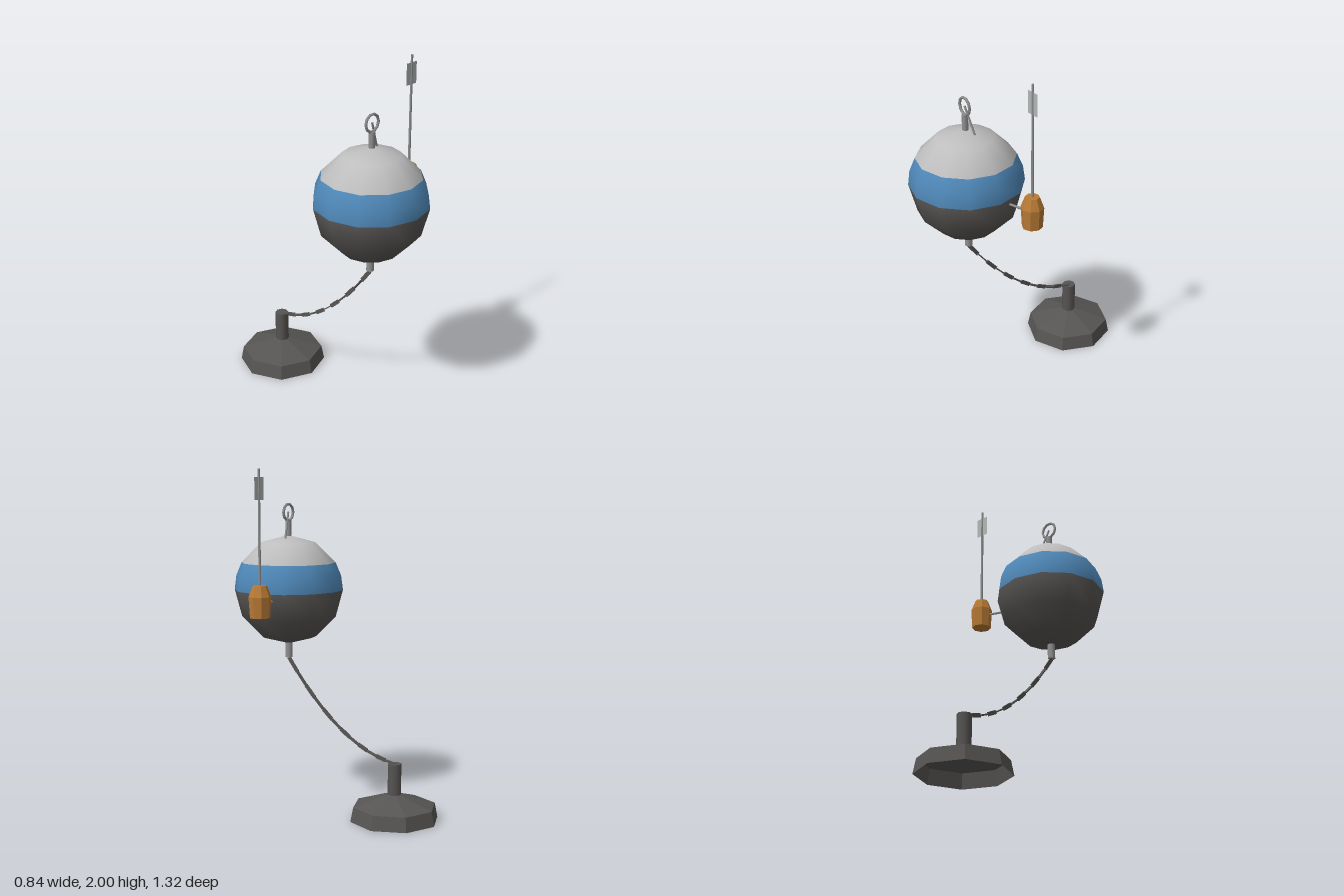
import * as THREE from 'three';

const mat = (name, color, extra = {}) => Object.assign(
  new THREE.MeshStandardMaterial({ color, ...extra }), { name });

export function createModel() {
  const light = mat('light grey paint', 0xbebebe);
  const blue = mat('blue paint', 0x4f88b8);
  const dark = mat('dark grey', 0x575553);
  const shellDark = mat('dark grey shell', 0x575553, { side: THREE.DoubleSide, flatShading: true });
  const metal = mat('metal', 0x909090);
  const orange = mat('orange paint', 0xb87a35, { flatShading: true });
  const flagGrey = mat('flag grey', 0xb2b6b6, { side: THREE.DoubleSide });

  const model = new THREE.Group();
  model.name = 'mooringBuoy';
  const add = (name, geo, material, x = 0, y = 0, z = 0) => {
    const m = new THREE.Mesh(geo, material);
    m.name = name;
    m.position.set(x, y, z);
    model.add(m);
    return m;
  };
  // Turns a part whose length runs along y so that it spans a to b
  const span = (mesh, a, b) => {
    mesh.position.copy(a).lerp(b, 0.5);
    mesh.quaternion.setFromUnitVectors(new THREE.Vector3(0, 1, 0), b.clone().sub(a).normalize());
  };
  const rod = (name, a, b, r) =>
    span(add(name, new THREE.CylinderGeometry(r, r, a.distanceTo(b), 6), metal), a, b);
  const V = (x, y, z) => new THREE.Vector3(x, y, z);

  const X = -0.097, BZ = 0.335, BY = 1.291, AZ = -0.403;

  // Buoy ball in three painted bands
  const R = 0.324, step = Math.PI / 6;
  const band = (from, rows) =>
    new THREE.SphereGeometry(R, 12, rows, 0, Math.PI * 2, from * step, rows * step);
  add('ballTop', band(0, 2), light, X, BY, BZ);
  add('ballStripe', band(2, 1), blue, X, BY, BZ);
  add('ballBottom', band(3, 3), dark, X, BY, BZ);

  // Lifting eye with a loose pin, and the lower chain fitting
  add('topStem', new THREE.CylinderGeometry(0.018, 0.018, 0.11, 8), metal, X, 1.645, BZ);
  add('liftingRing', new THREE.TorusGeometry(0.049, 0.008, 6, 10), metal, X, 1.748, BZ);
  rod('ringPin', V(X, 1.75, BZ), V(-0.035, 1.595, 0.314), 0.006);
  add('bottomStem', new THREE.CylinderGeometry(0.022, 0.022, 0.11, 8), metal, X, 0.938, BZ);

  // Sagging chain of flat links, each turned a quarter from the last
  const links = 12;
  const chainPoint = (t) => V(X, 0.88 - 0.55 * t - 0.464 * t * (1 - t), BZ + (AZ - BZ) * t);
  for (let i = 0; i < links; i++) {
    const a = chainPoint(i / links), b = chainPoint((i + 1) / links);
    const [w, d] = i % 2 ? [0.023, 0.007] : [0.007, 0.023];
    span(add('chainLink', new THREE.BoxGeometry(w, a.distanceTo(b), d), dark), a, b);
  }

  // Hollow eight-sided anchor with its post
  const anchorProfile = [[0.26, 0], [0.243, 0.084], [0.038, 0.15]]
    .map(([r, y]) => new THREE.Vector2(r, y));
  add('anchorShell', new THREE.LatheGeometry(anchorProfile, 8), shellDark, X, 0, AZ);
  add('anchorPost', new THREE.CylinderGeometry(0.04, 0.04, 0.19, 8), dark, X, 0.235, AZ);

  // Marker float on an arm, with pole and flag
  const FX = 0.352, FZ = 0.213;
  const floatProfile = [[0, 1.177], [0.057, 1.177], [0.064, 1.295], [0.04, 1.358], [0, 1.358]]
    .map(([r, y]) => new THREE.Vector2(r, y));
  add('markerFloat', new THREE.LatheGeometry(floatProfile, 8), orange, FX, 0, FZ);
  rod('floatArm', V(0.12, 1.246, 0.262), V(0.33, 1.259, 0.218), 0.007);
  add('flagPole', new THREE.CylinderGeometry(0.007, 0.008, 0.66, 6), metal, FX, 1.67, FZ);
  add('flag', new THREE.PlaneGeometry(0.083, 0.126), flagGrey, FX, 1.893, FZ);

  return model;
}
